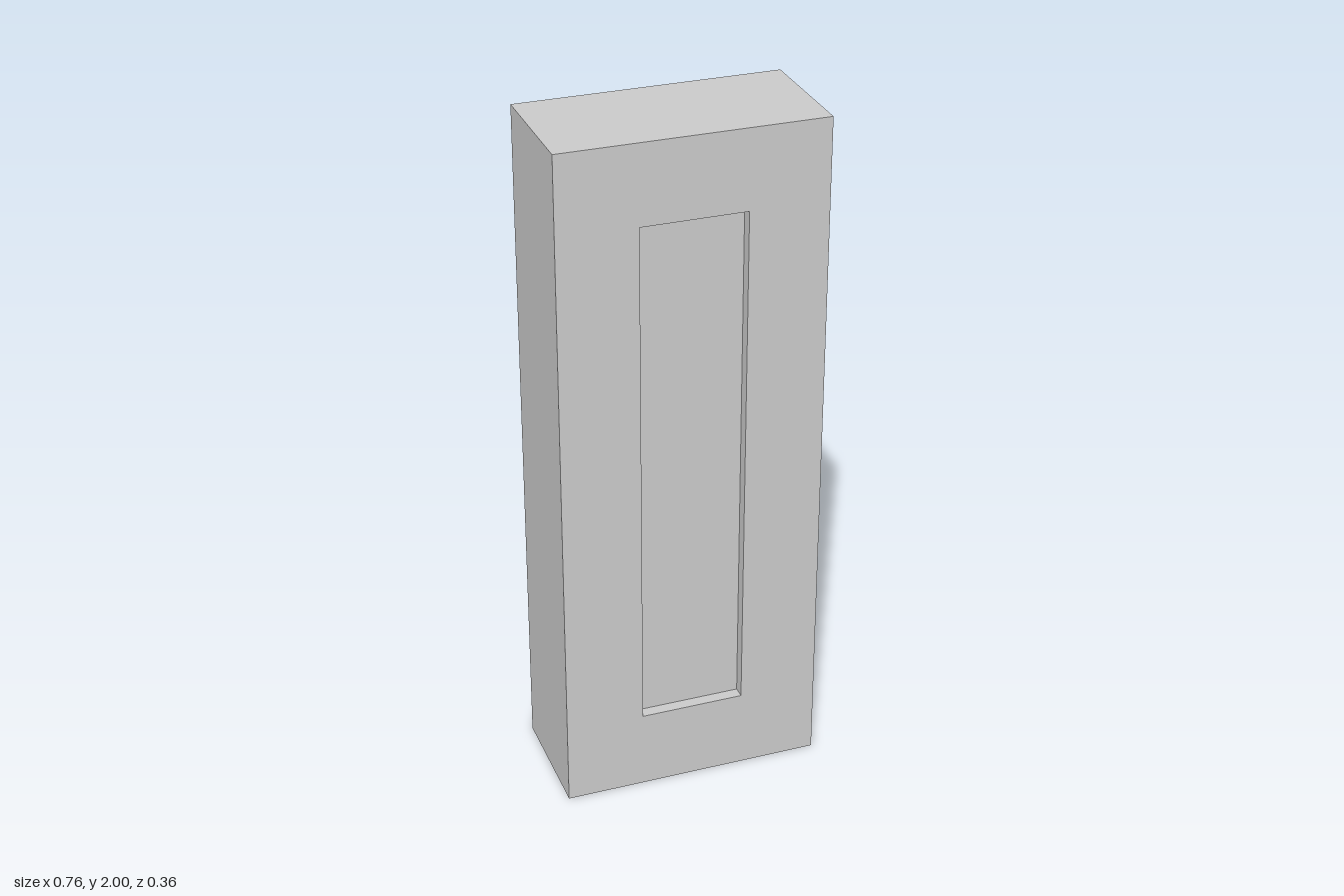
import * as THREE from 'three';

const W = 0.758, H = 2, D = 0.364;               // outer case
const PW = 0.302, P0 = 0.236, P1 = 1.768;        // recessed panel
const RECESS = 0.035;

const material = new THREE.MeshStandardMaterial({ color: 0xcccccc, side: THREE.DoubleSide, flatShading: true });

function addMesh(parent, name, geometry, x = 0, y = 0, z = 0) {
  const mesh = new THREE.Mesh(geometry, material);
  mesh.name = name;
  mesh.position.set(x, y, z);
  parent.add(mesh);
  return mesh;
}

// Four thin walls around a rectangle; facing = 1 outward, -1 inward
function addWalls(parent, prefix, width, y0, y1, depth, zMid, facing) {
  const yMid = (y0 + y1) / 2;
  for (const s of [1, -1]) {
    const side = addMesh(parent, prefix + (s > 0 ? 'LeftWall' : 'RightWall'),
      new THREE.PlaneGeometry(depth, y1 - y0), s * width / 2, yMid, zMid);
    side.rotation.y = s * facing * Math.PI / 2;
    const cap = addMesh(parent, prefix + (s > 0 ? 'TopWall' : 'BottomWall'),
      new THREE.PlaneGeometry(width, depth), 0, s > 0 ? y1 : y0, zMid);
    cap.rotation.x = -s * facing * Math.PI / 2;
  }
}

function rectangle(path, width, y0, y1) {
  path.moveTo(-width / 2, y0);
  path.lineTo(width / 2, y0);
  path.lineTo(width / 2, y1);
  path.lineTo(-width / 2, y1);
  path.closePath();
  return path;
}

export function createModel() {
  const model = new THREE.Group();
  model.name = 'openBackCase';

  // Outer shell, open at the back
  addWalls(model, 'case', W, 0, H, D, 0, 1);

  // Front face with the panel opening
  const face = rectangle(new THREE.Shape(), W, 0, H);
  face.holes.push(rectangle(new THREE.Path(), PW, P0, P1));
  addMesh(model, 'frontFace', new THREE.ShapeGeometry(face), 0, 0, D / 2);

  // Shallow recess and its panel
  addWalls(model, 'recess', PW, P0, P1, RECESS, D / 2 - RECESS / 2, -1);
  addMesh(model, 'recessedPanel', new THREE.PlaneGeometry(PW, P1 - P0), 0, (P0 + P1) / 2, D / 2 - RECESS);

  return model;
}
